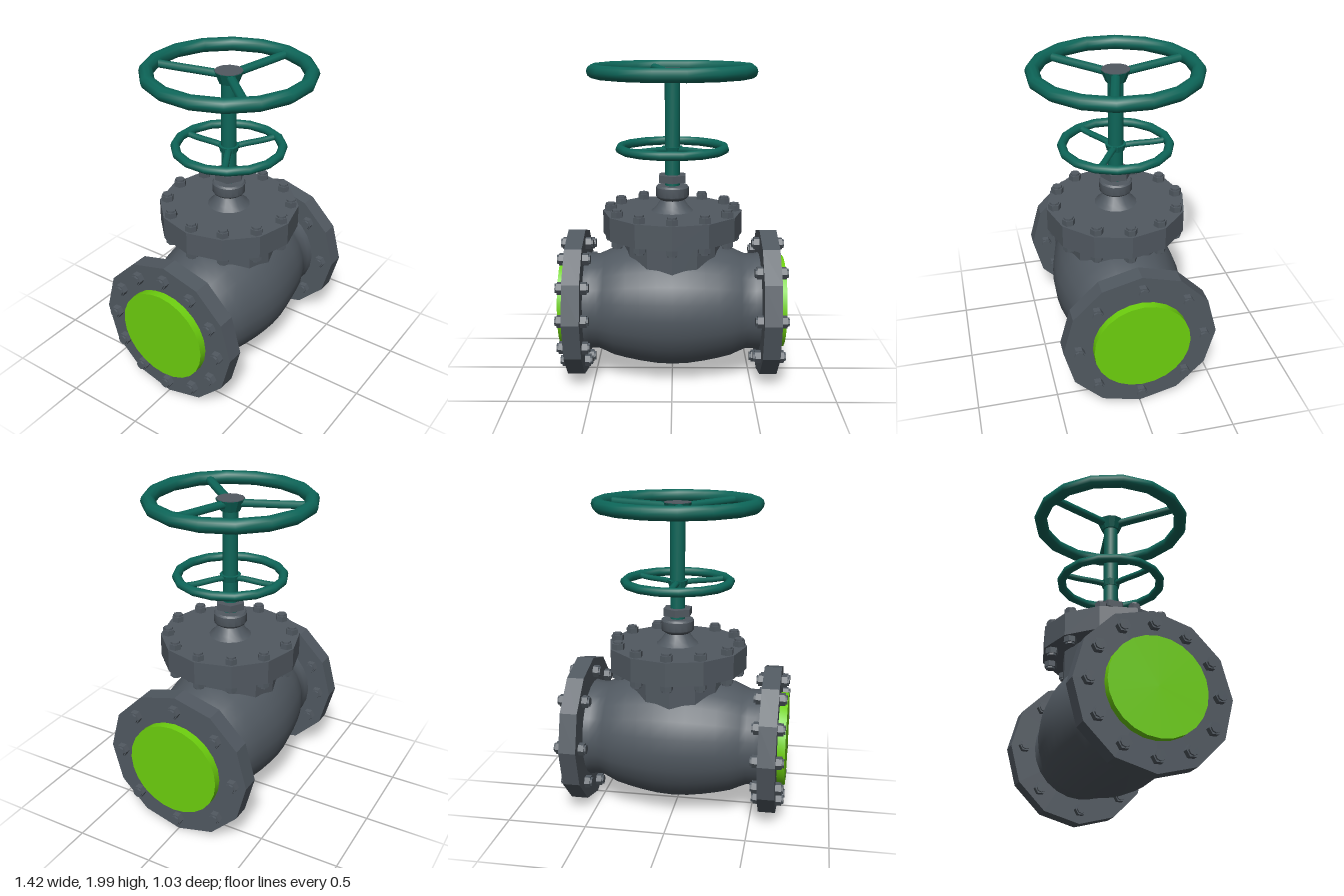
import * as THREE from 'three';
import { toCreasedNormals } from 'three/addons/utils/BufferGeometryUtils.js';

export function createModel() {
  const model = new THREE.Group();
  model.name = 'valve';
  const mat = (name, color) => {
    const m = new THREE.MeshStandardMaterial({ color });
    m.name = name;
    return m;
  };
  const iron = mat('iron grey', 0x515961);
  const teal = mat('handwheel teal', 0x0d6659);
  const lime = mat('cover green', 0x6dcf0e);
  const AXIS = 0.48; // height of the pipe axis

  const add = (parent, name, geo, material) => {
    const mesh = new THREE.Mesh(geo, material);
    mesh.name = name;
    parent.add(mesh);
    return mesh;
  };
  // Upright cylinder between two heights, with hard facets at few sides
  const column = (r0, r1, y0, y1, sides) => {
    const g = new THREE.CylinderGeometry(r1, r0, y1 - y0, sides);
    g.translate(0, (y0 + y1) / 2, 0);
    return toCreasedNormals(g, 0.45);
  };
  const lathe = (points, sides) => toCreasedNormals(
    new THREE.LatheGeometry(points.map(([r, y]) => new THREE.Vector2(r, y)), sides), 0.6);

  // Ring of hex bolts around the y axis, clamping a flange from y0 to y1
  const boltRing = (parent, name, angles, radius, y0, y1, tip) => {
    const ring = new THREE.Group();
    ring.name = name;
    const nut = 0.036;
    const head = column(0.04, 0.04, y1, y1 + nut, 6);
    const foot = column(0.04, 0.04, y0 - nut, y0, 6);
    const shank = column(0.03, 0.03, y0 - nut - tip, y1 + nut + tip, 8);
    angles.forEach((a) => {
      const bolt = new THREE.Group();
      bolt.name = 'bolt';
      bolt.position.set(radius * Math.sin(a), 0, radius * Math.cos(a));
      add(bolt, 'boltHead', head, iron);
      add(bolt, 'boltNut', foot, iron);
      add(bolt, 'boltShank', shank, iron);
      ring.add(bolt);
    });
    parent.add(ring);
  };
  const evenAngles = (n) => Array.from({ length: n }, (_, i) => (i / n) * Math.PI * 2);

  // Barrel-shaped pipe body lying along x
  const half = [[0.405, 0.1], [0.39, 0.2], [0.372, 0.29], [0.352, 0.37],
    [0.325, 0.43], [0.308, 0.47], [0.308, 0.52], [0.32, 0.57]];
  const profile = [...half.map(([r, y]) => [r, -y]).reverse(), [0.41, 0], ...half];
  const body = add(model, 'body', lathe(profile, 24), iron);
  body.rotation.z = -Math.PI / 2;
  body.position.y = AXIS;

  // End flanges with green covers and bolts
  [[1, 'left', 8], [-1, 'right', 12]].forEach(([side, label, bolts]) => {
    const end = new THREE.Group();
    end.name = label + 'End';
    end.rotation.z = -side * Math.PI / 2;
    end.position.y = AXIS;
    add(end, 'endFlange', column(0.475, 0.475, 0.555, 0.663, 12), iron);
    add(end, 'endCover', column(0.297, 0.297, 0.64, 0.712, 24), lime);
    boltRing(end, 'endBolts', evenAngles(bolts), 0.387, 0.555, 0.663, 0.012);
    model.add(end);
  });

  // Bonnet neck, flange and bolts
  add(model, 'bonnetNeck', column(0.307, 0.307, 0.6, 0.95, 12), iron);
  add(model, 'bonnetFlange', column(0.44, 0.44, 0.937, 1.085, 12), iron);
  boltRing(model, 'bonnetBolts', evenAngles(12), 0.39, 0.937, 1.085, 0.012);

  // Stem seal: flared foot, collar and gland nut
  add(model, 'stemSeal', lathe([[0.135, 1.083], [0.105, 1.11], [0.075, 1.155], [0.098, 1.17],
    [0.104, 1.18], [0.104, 1.235], [0.095, 1.247], [0, 1.247]], 16), iron);
  add(model, 'glandNut', column(0.095, 0.095, 1.27, 1.315, 6), iron);
  add(model, 'stem', column(0.047, 0.047, 1.24, 1.92, 16), teal);

  // Handwheels: rim, three spokes dipping to a hub
  const handwheel = (name, y, rim, tube, spokeWidth, hubY, turn, spokeTurn) => {
    const wheel = new THREE.Group();
    wheel.name = name;
    wheel.position.y = y;
    const ring = new THREE.TorusGeometry(rim, tube, 10, 16);
    ring.rotateX(-Math.PI / 2);
    add(wheel, 'rim', ring, teal).rotation.y = turn;
    for (let i = 0; i < 3; i++) {
      const path = new THREE.CatmullRomCurve3([
        new THREE.Vector3(0, hubY, -0.03), new THREE.Vector3(0, hubY + 0.006, -rim * 0.3),
        new THREE.Vector3(0, -0.008, -rim * 0.72), new THREE.Vector3(0, 0, -rim)]);
      const spoke = new THREE.TubeGeometry(path, 8, spokeWidth / 2, 8);
      spoke.scale(1, 0.8, 1);
      add(wheel, 'spoke', spoke, teal).rotation.y = spokeTurn - (i * Math.PI * 2) / 3;
    }
    model.add(wheel);
    return wheel;
  };
  const upper = handwheel('upperHandwheel', 1.957, 0.482, 0.043, 0.06, -0.022, 0.17, 0.28);
  add(upper, 'hub', column(0.06, 0.088, -0.062, 0.008, 12), teal);
  add(upper, 'hubCap', column(0.085, 0.085, 0.008, 0.012, 12), iron);
  const lower = handwheel('lowerHandwheel', 1.482, 0.328, 0.028, 0.044, -0.012, 0.19, 0);
  add(lower, 'hub', column(0.055, 0.065, -0.03, 0.01, 12), teal);

  return model;
}
